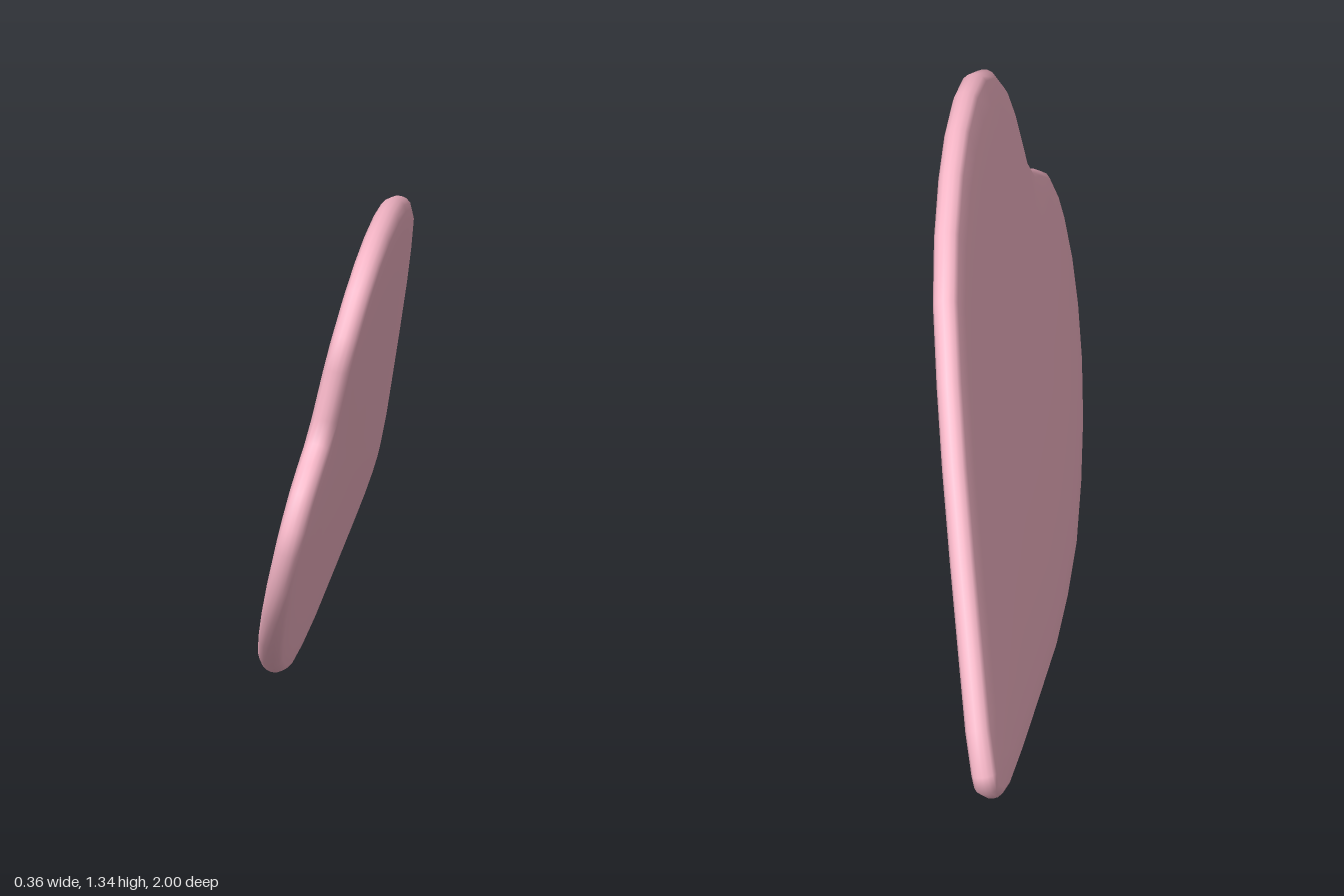
import * as THREE from 'three';

// Heart outline as (z, y) pairs, running from the notch over the upper lobe to the tip and back
const OUTLINE = [
  [0.80, 0.94], [0.81, 1.08], [0.79, 1.17], [0.715, 1.272], [0.615, 1.325], [0.49, 1.35],
  [0.325, 1.346], [0.165, 1.315], [-0.02, 1.25], [-0.195, 1.152], [-0.36, 1.005], [-0.515, 0.843],
  [-0.67, 0.655], [-0.81, 0.475], [-0.94, 0.305], [-0.993, 0.195], [-0.995, 0.145], [-0.945, 0.1],
  [-0.85, 0.072], [-0.69, 0.054], [-0.42, 0.032], [-0.12, 0.01], [0.10, 0.018], [0.31, 0.047],
  [0.50, 0.113], [0.67, 0.198], [0.81, 0.3], [0.91, 0.41], [0.973, 0.52], [1.0, 0.635],
  [0.997, 0.705], [0.96, 0.795], [0.89, 0.85], [0.83, 0.885],
];

// Half cross-section of the rim: inset from the outline, scale about the centre, half thickness
const RIM = [
  [0.03, 0.45, 0.044], [0.03, 0.75, 0.043], [0.03, 0.92, 0.039],
  [0.024, 1, 0.034], [0.01, 1, 0.026], [0.002, 1, 0.013],
];
const CENTRE = new THREE.Vector2(0.2, 0.62);

// The slab leans: its mid-plane depends on height and depth, and thickness follows its normal
const LEAN_Y = 0.226, LEAN_Z = -0.086;
const midX = (z, y) => -0.133 + LEAN_Y * y + LEAN_Z * z;
const NORMAL = new THREE.Vector3(1, -LEAN_Y, -LEAN_Z).normalize();

function heartGeometry() {
  const curve = new THREE.CatmullRomCurve3(
    OUTLINE.map(([z, y]) => new THREE.Vector3(z, y, 0)), true, 'centripetal');
  const n = OUTLINE.length;
  const profile = [
    ...RIM, [0, 1, 0],
    ...RIM.slice().reverse().map(([inset, scale, t]) => [inset, scale, -t]),
  ];
  const positions = [], index = [];
  const add = (z, y, t) =>
    positions.push(midX(z, y) + NORMAL.x * t, y + NORMAL.y * t, z + NORMAL.z * t);

  // Rings from the +x face, around the rounded rim, to the -x face
  for (const [inset, scale, t] of profile) {
    for (let i = 0; i < n; i++) {
      const p = curve.getPoint(i / n), d = curve.getTangent(i / n);
      const z = p.x - d.y * inset;
      const y = p.y + d.x * inset;
      add(CENTRE.x + (z - CENTRE.x) * scale, CENTRE.y + (y - CENTRE.y) * scale, t);
    }
  }
  for (let j = 0; j < profile.length - 1; j++) {
    for (let i = 0; i < n; i++) {
      const k = (i + 1) % n;
      const a = j * n + i, b = j * n + k, c = a + n, d = b + n;
      index.push(a, b, c, b, d, c);
    }
  }

  // Close both faces at their centres
  const front = profile.length * n, back = front + 1, last = front - n;
  add(CENTRE.x, CENTRE.y, 0.045);
  add(CENTRE.x, CENTRE.y, -0.045);
  for (let i = 0; i < n; i++) {
    const k = (i + 1) % n;
    index.push(front, k, i, back, last + i, last + k);
  }

  const geometry = new THREE.BufferGeometry();
  geometry.setAttribute('position', new THREE.Float32BufferAttribute(positions, 3));
  geometry.setIndex(index);
  geometry.computeVertexNormals();
  return geometry;
}

export function createModel() {
  const group = new THREE.Group();
  group.name = 'heartPetal';
  const heart = new THREE.Mesh(heartGeometry(), new THREE.MeshStandardMaterial({ color: 0xf7b7c8 }));
  heart.name = 'heartSlab';
  group.add(heart);
  return group;
}
